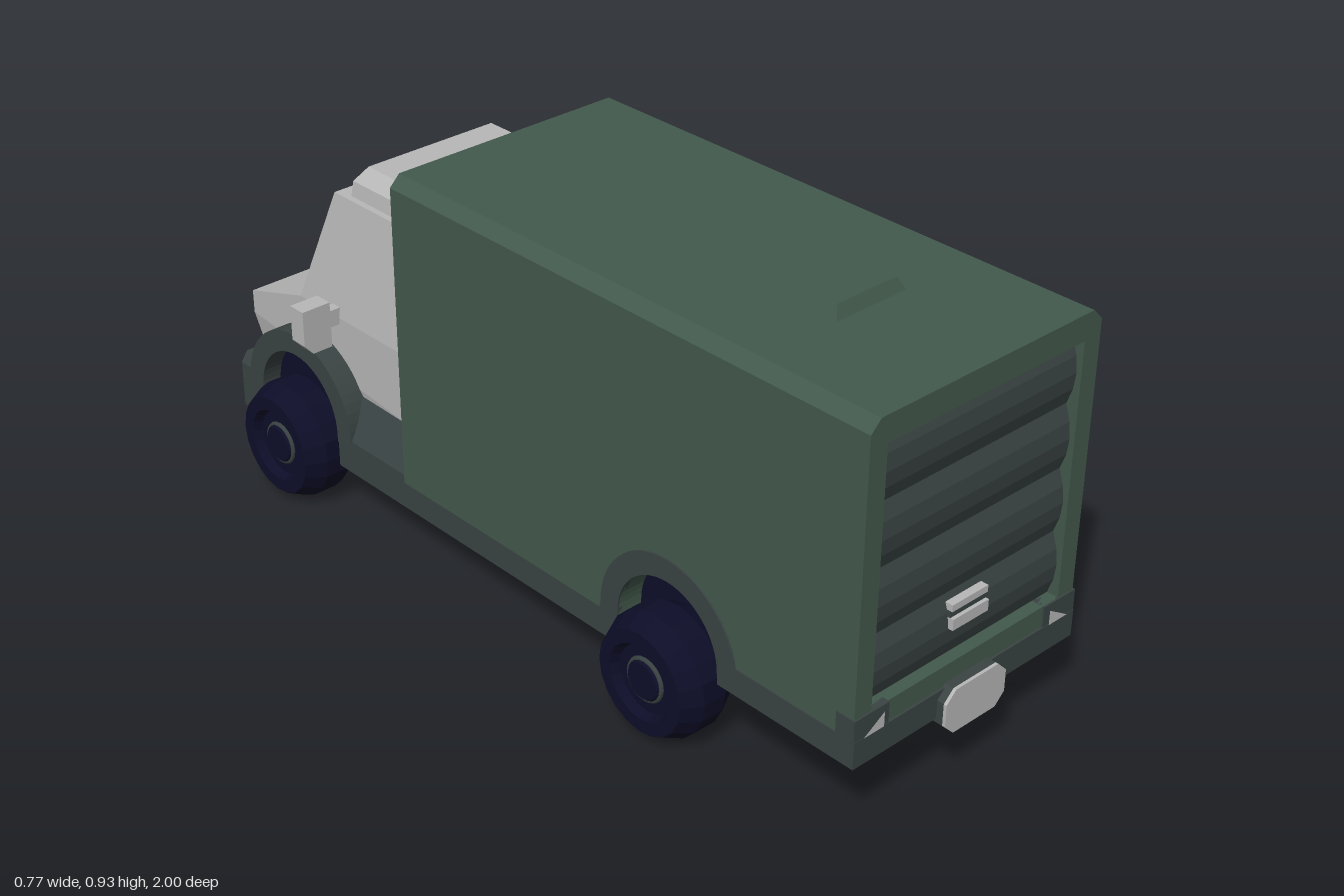
import * as THREE from 'three';
import { ConvexGeometry } from 'three/addons/geometries/ConvexGeometry.js';

const mat = (name, color) => {
  const m = new THREE.MeshStandardMaterial({ color });
  m.name = name;
  return m;
};

export function createModel() {
  const green = mat('boxGreen', 0x435a4d);
  const dark = mat('trimGrey', 0x3a4343);
  const light = mat('cabGrey', 0xb8b8b8);
  const navy = mat('navyBlack', 0x0d0d28);
  const group = new THREE.Group();
  group.name = 'boxTruck';

  const add = (name, geo, material) => {
    const m = new THREE.Mesh(geo, material);
    m.name = name;
    group.add(m);
    return m;
  };
  // box from its limits
  const box = (name, m, x0, x1, y0, y1, z0, z1) =>
    add(name, new THREE.BoxGeometry(x1 - x0, y1 - y0, z1 - z0)
      .translate((x0 + x1) / 2, (y0 + y1) / 2, (z0 + z1) / 2), m);
  const poly = pts => new THREE.Shape(pts.map(p => new THREE.Vector2(...p)));
  const extrude = (shape, depth) =>
    new THREE.ExtrudeGeometry(shape, { depth, bevelEnabled: false, curveSegments: 14 });
  // (z, y) profile pushed along x
  const sideways = (shape, x0, x1) =>
    extrude(shape, x1 - x0).rotateY(-Math.PI / 2).translate(x1, 0, 0);
  // (x, y) profile pushed along z
  const lengthways = (shape, z0, z1) => extrude(shape, z1 - z0).translate(0, 0, z0);
  // convex solid, the same on both sides of x = 0
  const hull = pts => new ConvexGeometry(
    pts.flatMap(([x, y, z]) => [new THREE.Vector3(x, y, z), new THREE.Vector3(-x, y, z)]));
  // thin flat face lifted off a surface; mirrored when s = -1
  const face = (name, m, pts, lift, s = 1) => {
    const v = pts.map(p => new THREE.Vector3(p[0] * s, p[1], p[2]));
    if (s < 0) v.reverse();
    const n = v[1].clone().sub(v[0]).cross(v[2].clone().sub(v[0])).normalize();
    v.forEach(p => p.addScaledVector(n, lift));
    const tri = [];
    for (let i = 1; i < v.length - 1; i++) tri.push(v[0], v[i], v[i + 1]);
    const g = new THREE.BufferGeometry().setFromPoints(tri);
    g.computeVertexNormals();
    return add(name, g, m);
  };

  const REAR = 0.485, FRONT = -0.715, ARCH = 0.2, R = 0.14;

  // cargo box: chamfered upper part, arched lower part, door frame
  add('cargoBox', lengthways(poly([[-0.31, 0.39], [0.31, 0.39], [0.31, 0.88],
    [0.285, 0.905], [-0.285, 0.905], [-0.31, 0.88]]), -0.34, 0.94), green);
  const lower = new THREE.Shape();
  lower.moveTo(-0.34, 0.18);
  lower.lineTo(REAR - R, 0.18);
  lower.lineTo(REAR - R, ARCH);
  lower.absarc(REAR, ARCH, R, Math.PI, 0, true);
  lower.lineTo(REAR + R, 0.235);
  lower.lineTo(0.94, 0.235);
  lower.lineTo(0.94, 0.39);
  lower.lineTo(-0.34, 0.39);
  add('cargoBoxLower', sideways(lower, -0.31, 0.31), green);
  const frame = poly([[-0.31, 0.235], [0.31, 0.235], [0.31, 0.88], [0.285, 0.905],
    [-0.285, 0.905], [-0.31, 0.88]]);
  frame.holes.push(poly([[-0.265, 0.283], [-0.265, 0.848], [0.265, 0.848], [0.265, 0.283]]));
  add('doorFrame', lengthways(frame, 0.94, 0.972), green);

  // roof hatch
  add('roofHatch', hull([[0.095, 0.9, 0.5], [0.095, 0.9, 0.69], [0.08, 0.932, 0.515],
    [0.08, 0.932, 0.675]]), green);

  // roller door with four bulging slats, and its handle
  const h = 0.565 / 4;
  for (let i = 0; i < 4; i++) {
    const y = 0.283 + i * h;
    add('doorSlat', sideways(poly([[0.935, y], [0.945, y], [0.957, y + h * 0.25],
      [0.961, y + h * 0.5], [0.957, y + h * 0.75], [0.945, y + h], [0.935, y + h]]),
    -0.265, 0.265), dark);
  }
  box('doorHandle', light, -0.05, 0.05, 0.355, 0.38, 0.95, 0.972);
  box('doorHandle', light, -0.05, 0.05, 0.395, 0.41, 0.95, 0.968);
  box('handleGap', dark, -0.05, 0.05, 0.38, 0.395, 0.95, 0.964);

  // chassis
  box('chassisCore', dark, -0.17, 0.17, 0.118, 0.385, -0.86, 0.63);
  box('chassisFloor', dark, -0.31, 0.31, 0.118, 0.18, FRONT + R, REAR - R);
  box('rearBumper', dark, -0.313, 0.313, 0.175, 0.236, REAR + R, 0.977);
  box('grille', dark, -0.25, 0.25, 0.118, 0.29, -0.925, FRONT - R);
  add('frontBumper', extrude(poly([[-0.31, -0.855], [-0.31, -0.94], [-0.27, -0.977],
    [0.27, -0.977], [0.31, -0.94], [0.31, -0.855]]), 0.112)
    .rotateX(Math.PI / 2).translate(0, 0.23, 0), dark);

  // eight-sided plates on both bumpers
  const plate = y => poly([[-0.085, y + 0.025], [-0.06, y], [0.06, y], [0.085, y + 0.025],
    [0.085, y + 0.075], [0.06, y + 0.1], [-0.06, y + 0.1], [-0.085, y + 0.075]]);
  add('rearPlateMount', lengthways(plate(0.142), 0.97, 0.993), dark);
  add('rearPlate', lengthways(plate(0.142), 0.993, 1), light);
  add('frontPlateMount', lengthways(plate(0.088), -0.993, -0.97), dark);
  add('frontPlate', lengthways(plate(0.088), -1, -0.993), light);

  // cab: nose and doors, glasshouse, roof fairing
  add('cabLower', hull([[0.26, 0.28, -0.335], [0.26, 0.455, -0.335], [0.26, 0.455, -0.757],
    [0.26, 0.395, -0.947], [0.26, 0.34, -0.947], [0.25, 0.28, -0.935]]), light);
  add('cabUpper', hull([[0.26, 0.455, -0.335], [0.26, 0.455, -0.757],
    [0.22, 0.73, -0.335], [0.22, 0.73, -0.66]]), light);
  add('roofFairing', hull([[0.205, 0.73, -0.335], [0.205, 0.73, -0.62], [0.2, 0.765, -0.335],
    [0.2, 0.765, -0.617], [0.17, 0.795, -0.335], [0.17, 0.795, -0.6]]), light);
  const shieldZ = y => -0.757 + 0.097 * (y - 0.455) / 0.275;
  const sideX = y => 0.26 - 0.04 * (y - 0.455) / 0.275;
  face('windshield', navy, [[0.225, 0.47, shieldZ(0.47)], [-0.225, 0.47, shieldZ(0.47)],
    [-0.19, 0.68, shieldZ(0.68)], [0.19, 0.68, shieldZ(0.68)]], 0.003);

  // wheel, turned about x, pointing outwards to +x
  const wheelGeo = new THREE.LatheGeometry([[0, -0.06], [0.09, -0.066], [0.117, -0.066],
    [0.137, -0.03], [0.137, 0.025], [0.115, 0.069], [0.085, 0.069], [0.075, 0.05],
    [0.05, 0.05], [0.04, 0.062], [0, 0.062]].map(p => new THREE.Vector2(...p)), 20)
    .toNonIndexed().rotateZ(-Math.PI / 2);
  wheelGeo.computeVertexNormals();
  const hubGeo = new THREE.TorusGeometry(0.045, 0.006, 6, 20).rotateY(Math.PI / 2);

  const well = z => {
    const s = new THREE.Shape();
    s.moveTo(z - R, 0.119);
    s.lineTo(z + R, 0.119);
    s.lineTo(z + R, ARCH);
    s.absarc(z, ARCH, R, 0, Math.PI, false);
    return s;
  };
  const fender = (z, yBack, yFront) => {
    const s = new THREE.Shape(), r = 0.19;
    s.moveTo(z + R, yBack);
    s.lineTo(z + r + 0.005, yBack);
    s.lineTo(z + r, Math.max(ARCH, yBack));
    s.absarc(z, ARCH, r, yBack > ARCH ? 0.19 : 0, Math.PI, false);
    s.lineTo(z - r - 0.005, yFront);
    s.lineTo(z - R, yFront);
    s.lineTo(z - R, ARCH);
    s.absarc(z, ARCH, R, Math.PI, 0, true);
    return s;
  };
  const both = (name, shape, x0, x1, m, s) =>
    add(name, s > 0 ? sideways(shape, x0, x1) : sideways(shape, -x1, -x0), m);

  for (const s of [1, -1]) {
    for (const z of [REAR, FRONT]) {
      const wheel = add('wheel', wheelGeo, navy);
      wheel.position.set(s * 0.316, 0.137, z);
      const hub = add('hubRing', hubGeo, dark);
      hub.position.set(s * 0.368, 0.137, z);
      if (s < 0) wheel.rotation.y = Math.PI;
      both('wheelWell', well(z), 0.165, z === REAR ? 0.25 : 0.264, navy, s);
    }
    both('rearFender', fender(REAR, 0.235, 0.18), 0.3, 0.314, dark, s);
    both('frontFender', fender(FRONT, 0.18, 0.18), 0.24, 0.312, dark, s);

    // sloping step below the cab door
    const step = [[0.2, 0.18], [0.31, 0.18], [0.31, 0.2], [0.262, 0.285], [0.2, 0.285]];
    add('cabStep', lengthways(poly(step.map(([x, y]) => [x * s, y])), FRONT + R, -0.338), dark);

    // side window
    face('sideWindow', navy, [[sideX(0.46), 0.46, -0.342], [sideX(0.46), 0.46, -0.715],
      [sideX(0.685), 0.685, -0.637], [sideX(0.685), 0.685, -0.342]].reverse(), 0.003, s);

    // headlight with frame, lens and a dark corner, wrapping round the side
    const lamp = (x0, x1, y0, y1) =>
      [[x1, y0, -0.947], [x0, y0, -0.947], [x0, y1, -0.947], [x1, y1, -0.947]];
    face('headlightFrame', dark, lamp(0.135, 0.258, 0.342, 0.392), 0.002, s);
    face('headlightLens', light, lamp(0.143, 0.25, 0.349, 0.385), 0.005, s);
    face('headlightCorner', dark, lamp(0.19, 0.25, 0.349, 0.385).slice(0, 3), 0.007, s);
    face('headlightSide', dark, [[0.26, 0.345, -0.9], [0.26, 0.345, -0.945],
      [0.26, 0.393, -0.945], [0.26, 0.4, -0.9]].reverse(), 0.002, s);
    face('headlightSideLens', light, [[0.26, 0.36, -0.907], [0.26, 0.352, -0.939],
      [0.26, 0.387, -0.939], [0.26, 0.392, -0.907]].reverse(), 0.004, s);

    // mirror and its arm
    const glass = [[0.29, 0.4], [0.34, 0.4], [0.362, 0.425], [0.362, 0.508], [0.29, 0.508]];
    add('mirror', lengthways(poly(glass.map(([x, y]) => [x * s, y])), -0.65, -0.605), light);
    box('mirrorArm', light, Math.min(s * 0.24, s * 0.3), Math.max(s * 0.24, s * 0.3),
      0.44, 0.48, -0.64, -0.615);

    // tail lamp on its bumper corner
    box('bumperCorner', dark, Math.min(s * 0.22, s * 0.313), Math.max(s * 0.22, s * 0.313),
      0.235, 0.283, 0.93, 0.976);
    face('tailLamp', light, [[0.235, 0.236, 0.976], [0.29, 0.236, 0.976],
      [0.235, 0.27, 0.976]], 0.003, s);
  }
  return group;
}
